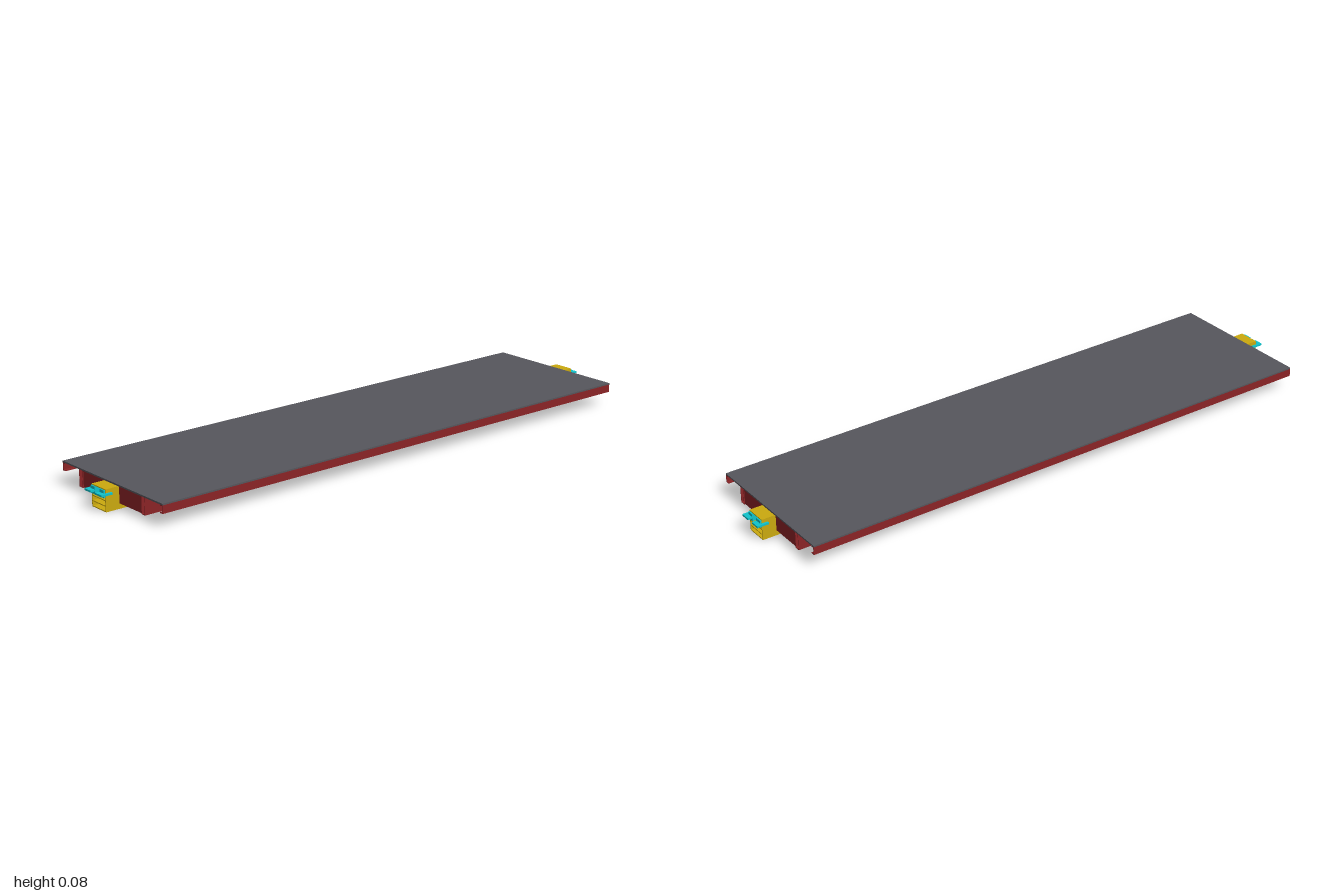
import * as THREE from 'three';

const mat = (name, color) => {
  const m = new THREE.MeshStandardMaterial({ color });
  m.name = name;
  return m;
};

export function createModel() {
  const model = new THREE.Group();
  model.name = 'flatWagonFrame';
  const red = mat('frame red', 0x8a2326);
  const grey = mat('deck grey', 0x56565c);
  const yellow = mat('coupler yellow', 0xcaa90f);
  const teal = mat('fitting teal', 0x10c3cc);

  // Box given by its limits on each axis
  const box = (parent, name, m, x0, x1, y0, y1, z0, z1) => {
    const mesh = new THREE.Mesh(new THREE.BoxGeometry(x1 - x0, y1 - y0, z1 - z0), m);
    mesh.position.set((x0 + x1) / 2, (y0 + y1) / 2, (z0 + z1) / 2);
    mesh.name = name;
    parent.add(mesh);
    return mesh;
  };
  const L = 0.935, top = 0.071;

  box(model, 'deck', grey, -L, L, top, 0.076, -0.257, 0.257);

  // Long members, mirrored by half-turn
  for (const turn of [0, Math.PI]) {
    const side = new THREE.Group();
    side.name = 'longSide';
    side.rotation.y = turn;
    model.add(side);

    // Hollow main sill
    box(side, 'sillOuterWall', red, -L, L, 0.017, top, 0.167, 0.169);
    box(side, 'sillInnerWall', red, -L, L, 0.017, top, 0.151, 0.153);
    box(side, 'sillBottom', red, -L, L, 0.016, 0.018, 0.151, 0.169);

    // Edge channel, open inwards
    box(side, 'edgeWeb', red, -L, L, 0.045, top, 0.254, 0.257);
    box(side, 'edgeBottomFlange', red, -L, L, 0.045, 0.048, 0.244, 0.254);
    box(side, 'edgeTopFlange', red, -L, L, 0.068, top, 0.244, 0.254);

    // Outriggers
    for (const x of [-0.75, -0.25, 0.25, 0.75])
      box(side, 'outrigger', red, x - 0.007, x + 0.007, 0.046, top, 0.169, 0.254);
  }

  // Cross members between the sills
  for (const x of [-0.35, -0.21, -0.07, 0.07, 0.21, 0.35])
    box(model, 'crossMember', red, x - 0.007, x + 0.007, 0.04, top, -0.151, 0.151);

  // End assemblies, one at each end by half-turn
  for (const turn of [0, Math.PI]) {
    const end = new THREE.Group();
    end.name = 'endAssembly';
    end.rotation.y = turn;
    model.add(end);

    box(end, 'bolster', red, 0.49, 0.515, 0.018, top, -0.151, 0.151);
    box(end, 'brakeCrossMember', red, 0.693, 0.707, 0.04, top, -0.151, 0.151);
    box(end, 'headstock', red, 0.92, 0.932, 0.017, top, -0.151, 0.151);

    // Open coupler housing over a hollow tray
    const w = 0.036, t = 0.003;
    for (const z of [-w, w - t]) {
      box(end, 'housingSide', yellow, 0.932, 0.98, 0.018, 0.071, z, z + t);
      box(end, 'traySide', yellow, 0.83, 0.98, 0, 0.018, z, z + t);
    }
    box(end, 'trayBottom', yellow, 0.83, 0.98, 0, t, -w, w);
    box(end, 'trayTop', yellow, 0.83, 0.98, 0.017, 0.02, -w, w);
    box(end, 'housingShelf', yellow, 0.932, 0.98, 0.034, 0.037, -w, w);
    box(end, 'housingTop', yellow, 0.932, 0.98, 0.068, 0.071, -w, w);

    // Coupling blocks and prongs
    for (const s of [-1, 1]) {
      const z = s * 0.023;
      box(end, 'couplingBlock', teal, 0.945, 0.985, 0.044, 0.053, z - 0.011, z + 0.011);
      box(end, 'couplingBlock', teal, 0.945, 0.985, 0.059, 0.068, z - 0.011, z + 0.011);
      box(end, 'couplingProng', teal, 0.96, 1.0, 0.053, 0.059, s * 0.028 - 0.016, s * 0.028 + 0.016);
    }

    // Brake spring lying diagonally under the deck
    const a = new THREE.Vector3(0.85, 0.045, -0.045);
    const b = new THREE.Vector3(0.71, 0.045, -0.135);
    const dir = b.clone().sub(a);
    const sideways = new THREE.Vector3(-dir.z, 0, dir.x).normalize();
    const turns = 12, pts = [];
    for (let i = 0; i <= turns * 8; i++) {
      const ang = (i / 8) * Math.PI * 2;
      const p = a.clone().addScaledVector(dir, i / (turns * 8));
      p.addScaledVector(sideways, 0.007 * Math.cos(ang));
      p.y += 0.007 * Math.sin(ang);
      pts.push(p);
    }
    const spring = new THREE.Mesh(
      new THREE.TubeGeometry(new THREE.CatmullRomCurve3(pts), turns * 12, 0.0022, 5), teal);
    spring.name = 'brakeSpring';
    end.add(spring);

    // Brake lever beside the sill
    box(end, 'brakeLever', teal, 0.757, 0.767, 0.02, 0.056, 0.142, 0.1505);
    box(end, 'brakeLeverFoot', teal, 0.757, 0.785, 0.02, 0.026, 0.135, 0.1505);
  }
  return model;
}
